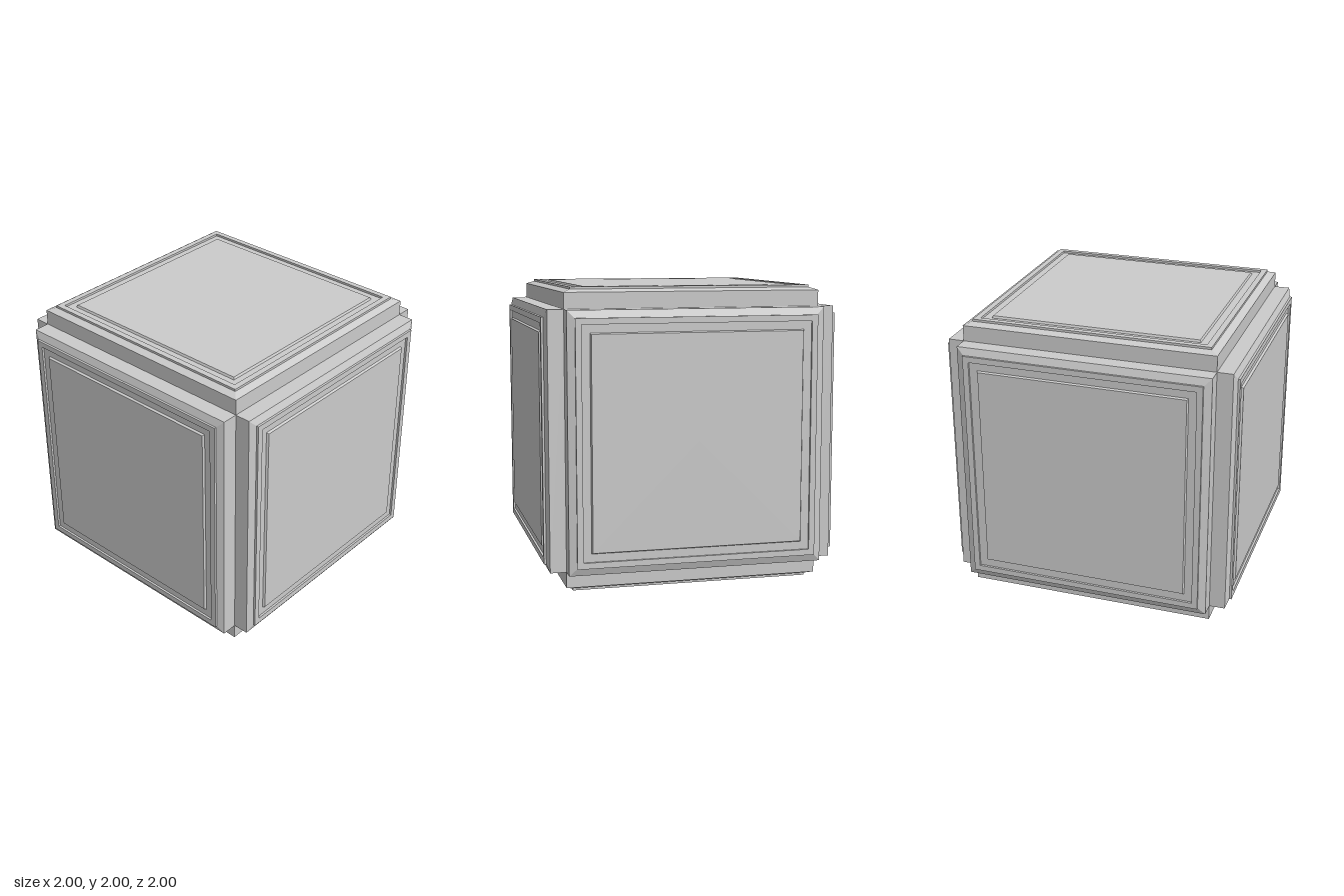
import * as THREE from 'three';

// Stepped square profile of one face panel: [half width, distance from centre]
const PROFILE = [
  [0.86, 0.86], [0.86, 0.967],    // slab side
  [0.81, 0.985], [0.81, 1.0],     // bevel, then raised rim
  [0.77, 1.0], [0.77, 0.985],     // inner wall of the rim
  [0.715, 0.985], [0.708, 1.0],   // groove floor, edge of the centre plate
  [0, 1.0],
];

// A four-sided lathe turns the profile into a square panel facing +y
function panelGeometry() {
  const points = PROFILE.map(([half, h]) => new THREE.Vector2(half * Math.SQRT2, h));
  const geometry = new THREE.LatheGeometry(points, 4, Math.PI / 4).toNonIndexed();
  geometry.computeVertexNormals();
  return geometry;
}

export function createModel() {
  const model = new THREE.Group();
  model.name = 'panelledCube';
  const material = new THREE.MeshStandardMaterial({ color: 0xcccccc, flatShading: true });

  // Inner cube closing the body behind the panels
  const core = new THREE.Mesh(new THREE.BoxGeometry(1.72, 1.72, 1.72), material);
  core.name = 'core';
  core.position.y = 1;
  model.add(core);

  // The same panel on all six sides
  const geometry = panelGeometry();
  const q = Math.PI / 2;
  const sides = {
    topPanel: [0, 0], bottomPanel: [2 * q, 0],
    frontPanel: [q, 0], backPanel: [-q, 0],
    leftPanel: [0, -q], rightPanel: [0, q],
  };
  for (const [name, [rx, rz]] of Object.entries(sides)) {
    const panel = new THREE.Mesh(geometry, material);
    panel.name = name;
    panel.rotation.set(rx, 0, rz);
    panel.position.y = 1;
    model.add(panel);
  }
  return model;
}
